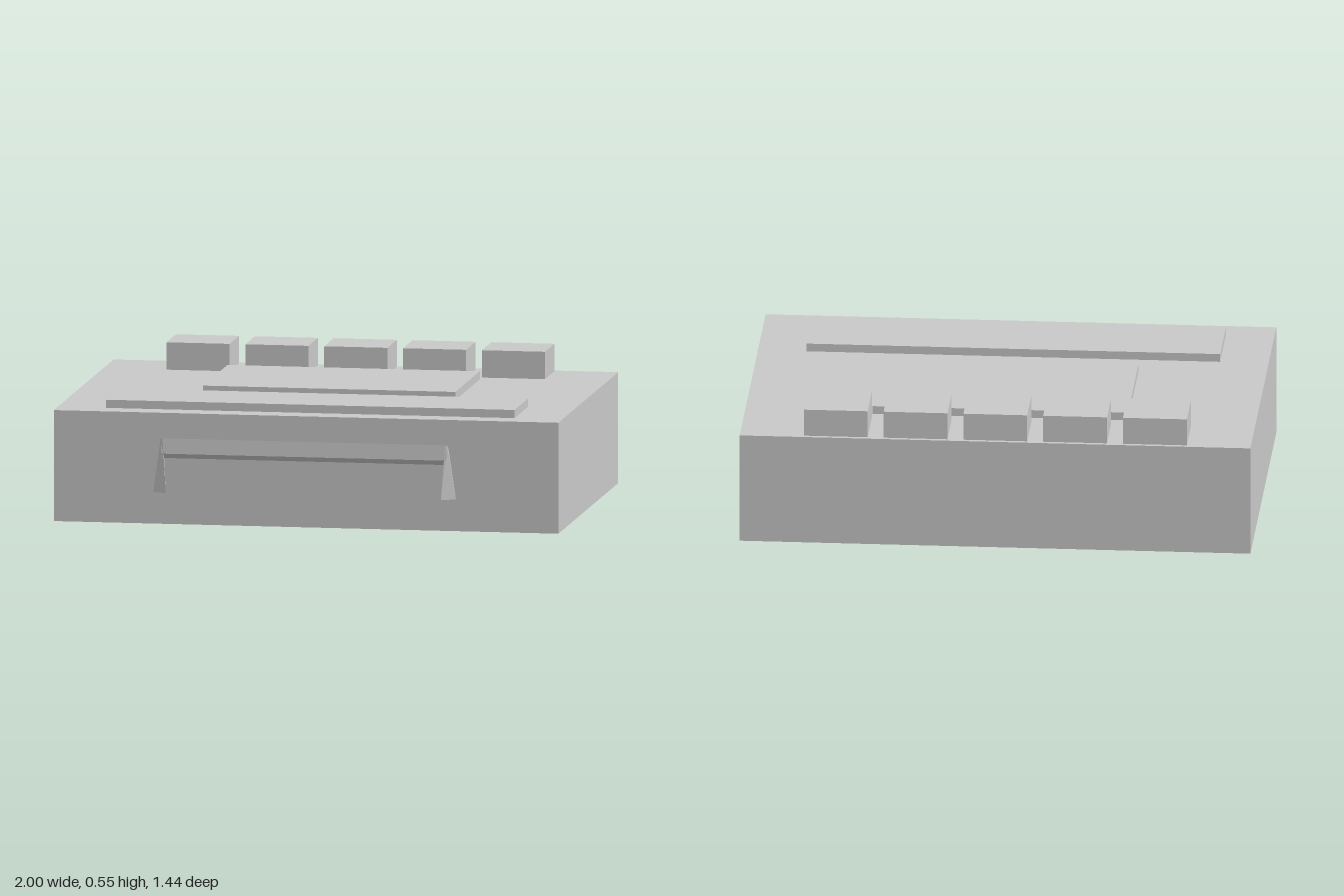
import * as THREE from 'three';
import { ConvexGeometry } from 'three/addons/geometries/ConvexGeometry.js';

export function createModel() {
  const model = new THREE.Group();
  model.name = 'consoleBox';
  const grey = new THREE.MeshStandardMaterial({ color: 0xc8c8c8 });
  grey.name = 'light grey';

  const add = (name, geometry) => {
    const mesh = new THREE.Mesh(geometry, grey);
    mesh.name = name;
    model.add(mesh);
    return mesh;
  };
  // Box given by its x, y and z ranges
  const box = (name, [x0, x1], [y0, y1], [z0, z1]) =>
    add(name, new THREE.BoxGeometry(x1 - x0, y1 - y0, z1 - z0))
      .position.set((x0 + x1) / 2, (y0 + y1) / 2, (z0 + z1) / 2);
  // Convex solid from a few corners
  const solid = (name, corners) =>
    add(name, new ConvexGeometry(corners.map((c) => new THREE.Vector3(...c))));

  const top = 0.438;
  box('body', [-1, 1], [0, top], [-0.72, 0.656]);

  // Raised panels on the lid
  box('frontPanel', [-0.81, 0.81], [top, 0.47], [0.25, 0.562]);
  box('centerPanel', [-0.5, 0.5], [top, 0.47], [-0.438, 0.125]);

  // Row of five blocks along the back
  for (let i = -2; i <= 2; i++) {
    const x = i * 0.3125;
    box('button' + (i + 3), [x - 0.125, x + 0.125], [top, 0.546], [-0.704, -0.486]);
  }

  // Handle bar with a sloping top, held against the front wall
  const profile = [[0.32, 0.656], [0.345, 0.706], [0.285, 0.711], [0.26, 0.656]];
  solid('handleBar', [-0.565, 0.565].flatMap((x) => profile.map(([y, z]) => [x, y, z])));

  // Flared legs at the two ends: a top edge widening to a triangular foot
  for (const [name, s] of [['leftHandleLeg', 1], ['rightHandleLeg', -1]]) {
    solid(name, [
      [s * 0.56, 0.345, 0.708], [s * 0.568, 0.345, 0.706], [s * 0.565, 0.32, 0.656],
      [s * 0.545, 0.13, 0.72], [s * 0.6, 0.13, 0.688], [s * 0.56, 0.13, 0.656],
    ]);
  }
  return model;
}
